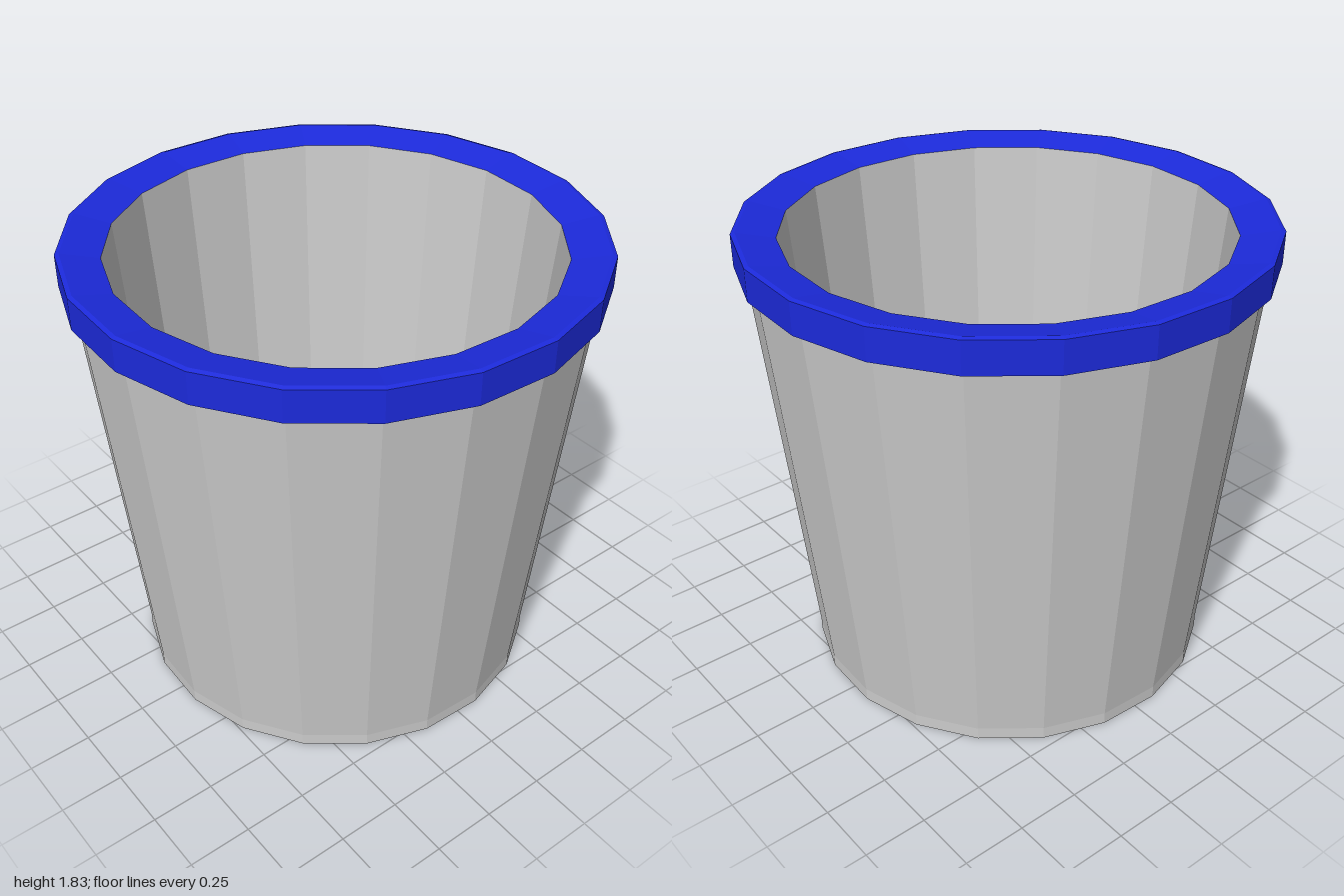
import * as THREE from 'three';

const SIDES = 20;
const TURN = THREE.MathUtils.degToRad(6.6); // the facets are slightly turned

// Faceted solid of revolution from [radius, height] pairs
function facetedLathe(name, color, profile) {
  const points = profile.map(([r, y]) => new THREE.Vector2(r, y));
  const geometry = new THREE.LatheGeometry(points, SIDES, TURN).toNonIndexed();
  geometry.computeVertexNormals();
  const material = new THREE.MeshStandardMaterial({ color, flatShading: true });
  const mesh = new THREE.Mesh(geometry, material);
  mesh.name = name;
  return mesh;
}

export function createModel() {
  const group = new THREE.Group();
  group.name = 'bucket';

  // Tapered wall with a short upright foot, hollow inside down to the floor
  group.add(facetedLathe('body', 0xcccccc, [
    [0, 0], [0.81, 0], [0.81, 0.05], [0.972, 1.7],
    [0.846, 1.8], [0.707, 0.05], [0, 0.05],
  ]));

  // Blue rim, its top sloping slightly inwards
  group.add(facetedLathe('rim', 0x1c2adb, [
    [0.972, 1.7], [1.0066, 1.7], [1.0066, 1.825], [0.99, 1.83], [0.846, 1.8],
  ]));

  return group;
}
